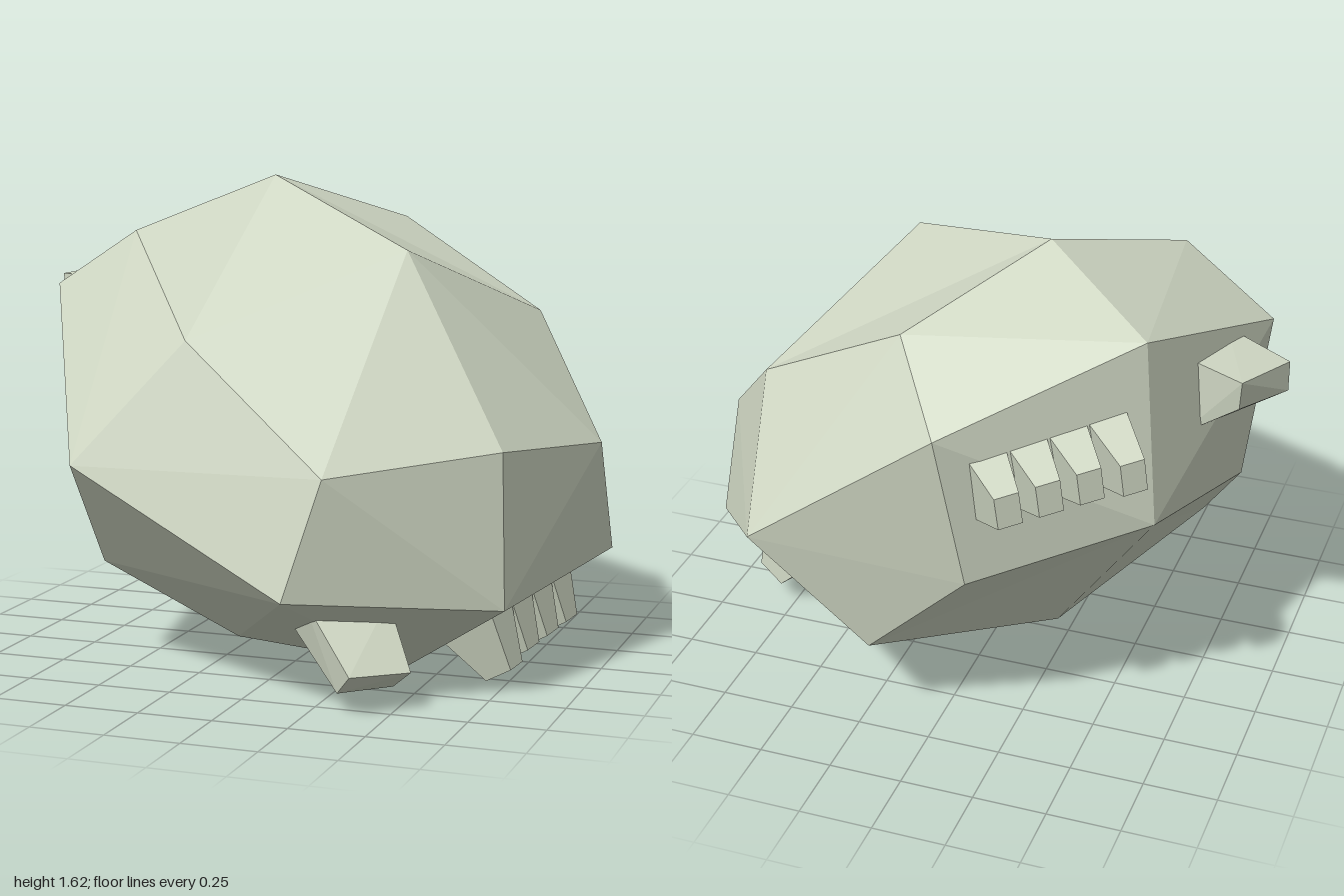
import * as THREE from 'three';
import { ConvexGeometry } from 'three/addons/geometries/ConvexGeometry.js';

const V = (x, y, z) => new THREE.Vector3(x, y, z);

// Body: a cube with two by two faces per side, rounded, mirrored across its own middle plane.
// Points on the middle plane: [along, height]
const MID = {
  crown: [-0.29, 1.615], brow: [0.452, 1.40], nose: [0.936, 0.80], chin: [0.953, 0.295],
  keel: [0.463, 0.01], belly: [-0.35, 0.19], tail: [-0.84, 0.82], nape: [-0.775, 1.445],
};
// Points beside it: [along, height, half width]
const SIDE = {
  topBack: [-0.28, 1.447, 0.58], topSide: [0.27, 1.14, 0.745], topFront: [0.768, 0.752, 0.58],
  flank: [-0.005, 0.73, 1.01], frontSide: [0.71, 0.37, 0.694], backSide: [-0.605, 1.25, 0.692],
  lowFront: [0.2, 0.135, 0.5], lowSide: [-0.27, 0.335, 0.728], lowBack: [-0.611, 0.70, 0.58],
};
const QUADS = [
  ['crown', 'topBack', 'topSide', 'brow'], ['brow', 'topSide', 'topFront', 'nose'],
  ['nose', 'topFront', 'frontSide', 'chin'], ['chin', 'frontSide', 'lowFront', 'keel'],
  ['keel', 'lowFront', 'lowSide', 'belly'], ['belly', 'lowSide', 'lowBack', 'tail'],
  ['tail', 'lowBack', 'backSide', 'nape'], ['nape', 'backSide', 'topBack', 'crown'],
  ['topBack', 'backSide', 'flank', 'topSide'], ['topSide', 'flank', 'frontSide', 'topFront'],
  ['flank', 'lowSide', 'lowFront', 'frontSide'], ['backSide', 'lowBack', 'lowSide', 'flank'],
];

function bodyGeometry() {
  const pos = [];
  const centre = V(0.05, 0.8, 0);
  const addTriangle = (a, b, c) => {
    const n = b.clone().sub(a).cross(c.clone().sub(a));
    const out = a.clone().add(b).add(c).divideScalar(3).sub(centre);
    const order = n.dot(out) > 0 ? [a, b, c] : [a, c, b];
    order.forEach((p) => pos.push(p.x, p.y, p.z));
  };
  for (const sign of [1, -1]) {
    for (const quad of QUADS) {
      const [a, b, c, d] = quad.map((k) =>
        MID[k] ? V(MID[k][0], MID[k][1], 0) : V(SIDE[k][0], SIDE[k][1], sign * SIDE[k][2]));
      // split along the diagonal that bulges outward
      const ac = a.clone().add(c).divideScalar(2).distanceTo(centre);
      const bd = b.clone().add(d).divideScalar(2).distanceTo(centre);
      if (ac > bd) { addTriangle(a, b, c); addTriangle(a, c, d); }
      else { addTriangle(a, b, d); addTriangle(b, c, d); }
    }
  }
  const g = new THREE.BufferGeometry();
  g.setAttribute('position', new THREE.Float32BufferAttribute(pos, 3));
  g.computeVertexNormals();
  return g;
}

// Tapered block between a tip and a base of four corners; the base is pushed into the body
function blockGeometry(tip, base) {
  const sunk = base.map((b, i) => b.clone().add(b.clone().sub(tip[i]).multiplyScalar(0.3)));
  return new ConvexGeometry([...tip, ...sunk]);
}

// Row of four tapered fingers between two base points, pointing along a normal
function fingerRow(name, from, to, normal, length, material) {
  const group = new THREE.Group();
  group.name = name;
  const row = to.clone().sub(from).normalize();
  const n = normal.clone().normalize();
  const depth = row.clone().cross(n).normalize();
  const ring = (c, w, d) => [[-1, -1], [1, -1], [1, 1], [-1, 1]].map(([i, j]) =>
    c.clone().addScaledVector(row, i * w).addScaledVector(depth, j * d));
  for (let i = 0; i < 4; i++) {
    const base = from.clone().lerp(to, i / 3);
    const tip = base.clone().addScaledVector(n, length * (i === 0 ? 1.1 : 0.95));
    const points = [
      ...ring(base.clone().addScaledVector(n, -0.06), 0.068, 0.12),
      ...ring(tip, 0.04, 0.055),
    ];
    const finger = new THREE.Mesh(new ConvexGeometry(points), material);
    finger.name = 'finger';
    group.add(finger);
  }
  return group;
}

export function createModel() {
  const model = new THREE.Group();
  model.name = 'roundBody';
  const material = new THREE.MeshStandardMaterial({ color: 0xd0d8c4, flatShading: true });
  const add = (name, geometry) => {
    const mesh = new THREE.Mesh(geometry, material);
    mesh.name = name;
    model.add(mesh);
    return mesh;
  };

  // Body, turned about the vertical
  const body = add('body', bodyGeometry());
  body.rotation.y = -0.595;
  body.position.set(0.011, 0, -0.017);

  // Thumb blocks
  add('frontThumb', blockGeometry(
    [V(0.40, 0.13, 0.86), V(0.55, 0.12, 0.70), V(0.47, 0.05, 0.63), V(0.34, 0.06, 0.80)],
    [V(0.25, 0.295, 0.77), V(0.46, 0.27, 0.60), V(0.39, 0.165, 0.51), V(0.18, 0.19, 0.68)]));
  add('backThumb', blockGeometry(
    [V(-1.0, 1.255, -0.07), V(-0.90, 1.275, -0.30), V(-0.89, 1.17, -0.28), V(-1.0, 1.15, -0.07)],
    [V(-0.81, 1.26, 0.05), V(-0.72, 1.27, -0.20), V(-0.73, 1.03, -0.20), V(-0.82, 1.02, 0.05)]));

  // Finger rows
  model.add(fingerRow('frontFingers', V(0.66, 0.15, 0.26), V(0.76, 0.21, -0.13),
    V(0.51, -0.86, -0.03), 0.13, material));
  model.add(fingerRow('backFingers', V(-0.57, 1.11, -0.57), V(-0.26, 1.06, -0.82),
    V(-0.62, 0.01, -0.79), 0.15, material));

  return model;
}
